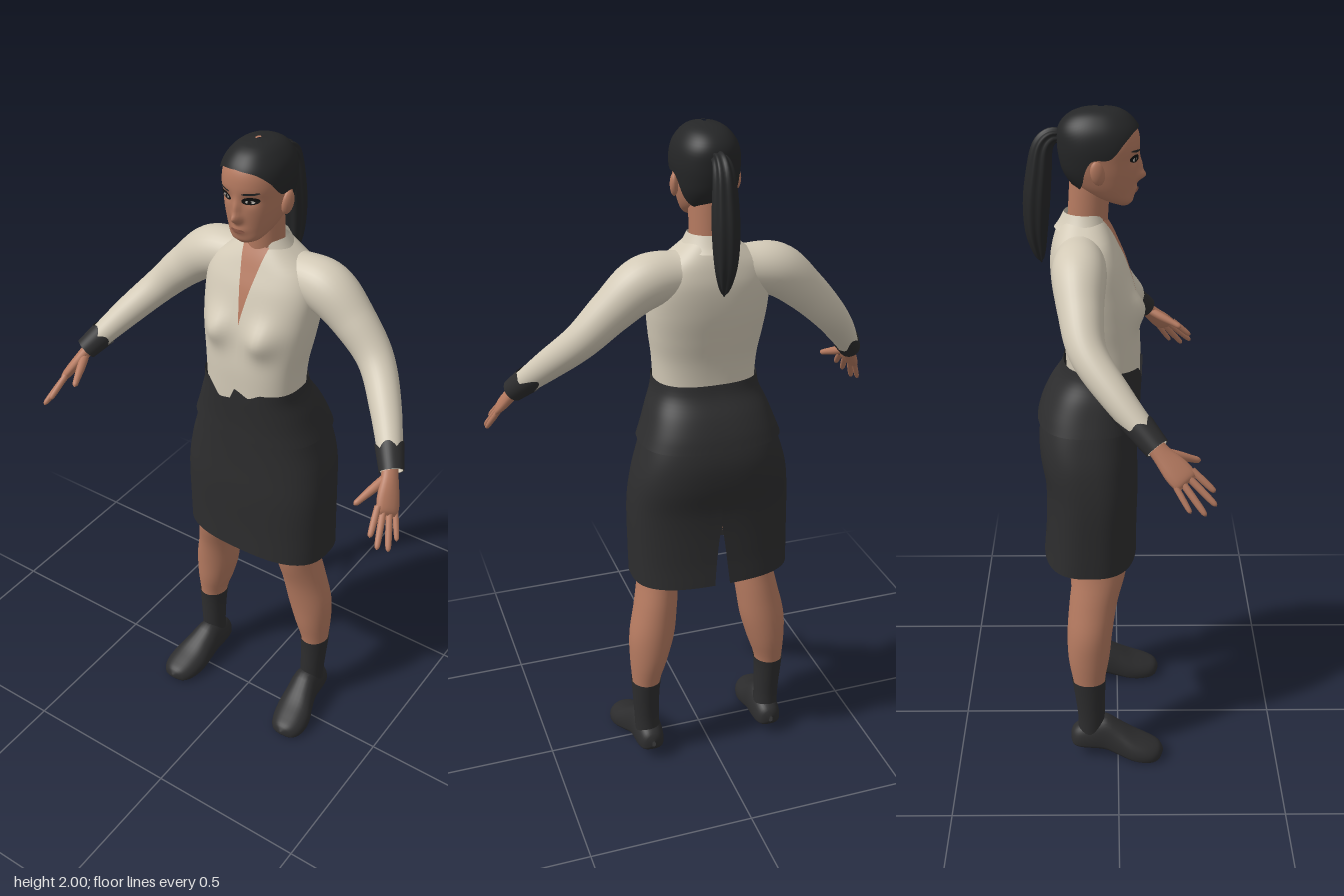
import * as THREE from 'three';

const mat = (name, color, side = THREE.FrontSide) => Object.assign(new THREE.MeshStandardMaterial({ color, side }), { name });
const { sin, cos, abs, sign, pow, exp, PI, max, min } = Math;

// Smooth lookup in rows of numbers, keyed by their first column
function lookup(keys, x) {
  const n = keys.length - 1;
  x = min(max(x, keys[0][0]), keys[n][0]);
  let i = 0;
  while (i < n - 1 && x > keys[i + 1][0]) i++;
  const h = keys[i + 1][0] - keys[i][0], s = (x - keys[i][0]) / h;
  const slope = (k, c) => {
    const a = keys[max(k - 1, 0)], b = keys[min(k + 1, n)];
    return (b[c] - a[c]) / (b[0] - a[0]);
  };
  return keys[i].map((v, c) => {
    const w = keys[i + 1][c], s2 = s * s, s3 = s2 * s;
    return v * (2 * s3 - 3 * s2 + 1) + w * (3 * s2 - 2 * s3) +
      h * (slope(i, c) * (s3 - 2 * s2 + s) + slope(i + 1, c) * (s3 - s2));
  });
}

// Surface swept by fn(angle, t); angle 0 faces front and grows toward +x
function surface(fn, na, nt, closed = true, a0 = -PI, a1 = PI) {
  const pos = [], index = [], cols = closed ? na : na + 1;
  for (let i = 0; i <= nt; i++)
    for (let j = 0; j < cols; j++) pos.push(...fn(a0 + (a1 - a0) * j / na, i / nt));
  for (let i = 0; i < nt; i++)
    for (let j = 0; j < na; j++) {
      const k = (j + 1) % cols, p = i * cols, q = p + cols;
      index.push(p + j, p + k, q + k, p + j, q + k, q + j);
    }
  const g = new THREE.BufferGeometry();
  g.setAttribute('position', new THREE.Float32BufferAttribute(pos, 3));
  g.setIndex(index);
  g.computeVertexNormals();
  return g;
}

const power = (v, p) => sign(v) * pow(abs(v), 2 / p);
// Point on a horizontal section; keys are [y, half width, front z, back z]
function section(keys, p, a, y, grow = 0) {
  const [, rx, zf, zb] = lookup(keys, y);
  return [(rx + grow) * power(sin(a), p), y, (zf + zb) / 2 + ((zf - zb) / 2 + grow) * power(cos(a), p)];
}
// Front z of such a section at a given x
function frontZ(keys, p, x, y) {
  const [, rx, zf, zb] = lookup(keys, y);
  return (zf + zb) / 2 + (zf - zb) / 2 * pow(max(0, 1 - pow(abs(x) / rx, p)), 1 / p);
}

// Limb along points [x, y, z, radius across, radius along ref]
function limb(points, ref) {
  const keys = points.map((p, i) => [i, ...p]), n = points.length - 1;
  const at = t => { const k = lookup(keys, t * n); return new THREE.Vector3(k[1], k[2], k[3]); };
  return (a, t, grow = 0) => {
    const k = lookup(keys, t * n), d = at(min(t + 0.01, 1)).sub(at(max(t - 0.01, 0))).normalize();
    const u = d.clone().cross(ref).normalize(), v = u.clone().cross(d);
    const r = k[4], r2 = k[5] ?? r;
    return at(t).addScaledVector(u, (r + grow) * sin(a)).addScaledVector(v, (r2 + grow) * cos(a)).toArray();
  };
}

const TORSO = [[1.2, .144, .064, -.15], [1.28, .147, .065, -.15], [1.35, .152, .064, -.156], [1.42, .163, .056, -.17],
  [1.5, .172, .042, -.185], [1.58, .172, .018, -.19], [1.63, .15, -.004, -.182], [1.665, .105, -.02, -.17], [1.7, .06, -.04, -.15]];
const SKIRT = [[.668, .242, .057, -.225], [.75, .243, .057, -.218], [.9, .242, .06, -.216], [1, .23, .057, -.231],
  [1.08, .208, .056, -.23], [1.2, .17, .058, -.195]];
const PEPLUM = [[1.11, .209, .066, -.236], [1.15, .194, .066, -.224], [1.2, .176, .068, -.2], [1.25, .156, .071, -.168], [1.29, .151, .072, -.156]];
const HEAD = [[1.733, .018, .03, .0], [1.745, .042, .041, -.03], [1.775, .063, .046, -.1], [1.82, .077, .052, -.14],
  [1.86, .083, .055, -.153], [1.9, .086, .06, -.158], [1.94, .079, .053, -.156], [1.97, .06, .03, -.135],
  [1.988, .036, 0, -.1], [1.995, .006, -.035, -.055]];

const bust = (x, y) => .032 * exp(-pow((abs(x) - .075) / .045, 2) - pow((y - 1.455) / .05, 2));
const gauss = (x, y, x0, y0, sx, sy) => exp(-pow((x - x0) / sx, 2) - pow((y - y0) / sy, 2));
// Nose, lips and eye sockets
const features = (x, y) => .02 * gauss(x, y, 0, 1.812, .013, .014) + .014 * gauss(x, y, 0, 1.838, .01, .028) +
  .007 * gauss(x, y, 0, 1.776, .022, .012) - .007 * gauss(abs(x), y, .036, 1.866, .018, .014);

// Waist edge of the blouse, as [angle, y]
const WAIST = [[-PI, 1.285], [-.6, 1.285], [-.42, 1.265], [-.25, 1.238], [-.05, 1.248], [0, 1.285], [.2, 1.265], [.45, 1.285], [PI, 1.285]];
function waistTop(a) {
  let i = 0;
  while (i < WAIST.length - 2 && a > WAIST[i + 1][0]) i++;
  const [p, q] = [WAIST[i], WAIST[i + 1]];
  return p[1] + (q[1] - p[1]) * (a - p[0]) / (q[0] - p[0]);
}

export function createModel() {
  const group = new THREE.Group();
  const skin = mat('skin', 0xb57a60), blouse = mat('blouse cream', 0xd3cab7, THREE.DoubleSide);
  const cloth = mat('dark cloth', 0x2d2d2e, THREE.DoubleSide), hair = mat('hair black', 0x252627);
  const lip = mat('lips', 0x98604d), white = mat('eye white', 0xc9c2ba), ink = mat('lash black', 0x141414);

  const add = (name, geo, m) => {
    const mesh = new THREE.Mesh(geo, m);
    mesh.name = name;
    group.add(mesh);
  };
  // Adds a part on the left (+x) and its mirror on the right
  const pair = (name, geo, m) => {
    const g = geo.clone().scale(-1, 1, 1), ix = g.index.array;
    for (let i = 0; i < ix.length; i += 3) [ix[i], ix[i + 1]] = [ix[i + 1], ix[i]];
    g.computeVertexNormals();
    add('left' + name, geo, m);
    add('right' + name, g, m);
  };

  // Blouse body
  add('blouseBody', surface((a, t) => {
    const p = section(TORSO, 2.5, a, 1.2 + .5 * t);
    p[2] += bust(p[0], p[1]) * max(0, min(1, cos(a) * 3));
    return p;
  }, 64, 40), blouse);

  // Open neckline
  const neckline = new THREE.PlaneGeometry(2, 1, 8, 24), np = neckline.attributes.position;
  for (let i = 0; i < np.count; i++) {
    const t = np.getY(i) + .5, y = 1.48 + .215 * t, x = np.getX(i) * .04 * pow(t, 1.2);
    np.setXYZ(i, x, y, frontZ(TORSO, 2.5, x, y) + bust(x, y) + .004);
  }
  neckline.computeVertexNormals();
  add('neckline', neckline, skin);

  // Folded collar, dropping to points at the front
  add('collar', surface((a, t) => {
    const f = pow(max(0, -cos(a)), 3), o = pow(t, .8);
    const r = .062 + .027 * (1 - o);
    return [r * sin(a), 1.715 - (1 - t) * (.045 + .035 * f) - .015 * f, -.092 - (r - .004) * cos(a)];
  }, 40, 5, false, -PI + .6, PI - .6), blouse);

  // Skirt with a back slit, and the flared waist piece
  add('skirt', surface((a, t) => {
    const y = .668 + .532 * t;
    return section(SKIRT, 2.7, a * (1 - max(0, .86 - y) * .07), y);
  }, 72, 30, false), cloth);
  add('waistPeplum', surface((a, t) => section(PEPLUM, 2.6, a, 1.11 + (waistTop(a) - 1.11) * t), 120, 14), cloth);

  // Neck, head and ears
  add('neck', surface((a, t) => [.053 * sin(a), 1.62 + .2 * t, -.088 + .012 * t + .056 * cos(a)], 32, 4), skin);
  add('head', surface((a, t) => {
    const p = section(HEAD, 2.2, a, 1.733 + .262 * (1 - cos(t * PI)) / 2);
    if (cos(a) > 0) p[2] += features(p[0], p[1]);
    return p;
  }, 96, 60), skin);
  pair('Ear', new THREE.SphereGeometry(1, 14, 10).scale(.012, .033, .02).rotateX(-.2).rotateY(-.3).translate(.087, 1.838, -.055), skin);

  // Hair cap with its hairline, and the ponytail
  const HAIRLINE = [[0, 1.948], [.6, 1.94], [1, 1.915], [1.35, 1.875], [1.75, 1.868], [2.1, 1.81], [2.5, 1.785], [PI, 1.78]];
  add('hairCap', surface((a, t) => {
    const low = lookup(HAIRLINE, abs(a))[1], y = low + (1.995 - low) * sin(t * PI / 2);
    const p = section(HEAD, 2.2, a, y, .007 * (1 - pow(t, 6)));
    p[1] += .005 * t;
    return p;
  }, 72, 24), hair);
  const tail = limb([[0, 1.92, -.145, .016], [0, 1.92, -.18, .022], [0, 1.89, -.205, .028], [0, 1.82, -.216, .034],
    [0, 1.74, -.224, .036], [0, 1.66, -.226, .03], [0, 1.6, -.22, .017], [0, 1.565, -.214, .001]], new THREE.Vector3(1, 0, 0));
  add('ponytail', surface((a, t) => tail(a, t, t < .97 ? .0025 * cos(a * 7) : 0), 42, 36), hair);

  // Face details: thin ellipses laid on the face
  const patch = (x, y, rx, ry, off, tilt = 0) => {
    const g = new THREE.CircleGeometry(1, 20).scale(rx, ry, 1).rotateZ(tilt).translate(x, y, 0), p = g.attributes.position;
    for (let i = 0; i < p.count; i++)
      p.setZ(i, frontZ(HEAD, 2.2, p.getX(i), p.getY(i)) + features(p.getX(i), p.getY(i)) + off);
    g.computeVertexNormals();
    return g;
  };
  pair('Lashes', patch(.038, 1.867, .022, .011, .003, .12), ink);
  pair('EyeWhite', patch(.037, 1.864, .012, .0045, .0045), white);
  pair('Iris', patch(.036, 1.864, .005, .005, .006), ink);
  pair('Brow', patch(.04, 1.888, .022, .0035, .003, .1), hair);
  add('lips', patch(0, 1.775, .022, .007, .003), lip);

  // Sleeves and dark cuffs
  const arm = limb([[.09, 1.605, -.105, .066], [.19, 1.59, -.105, .074], [.28, 1.52, -.1, .062], [.365, 1.435, -.08, .051],
    [.445, 1.345, -.005, .043], [.528, 1.24, .097, .03]], new THREE.Vector3(0, 0, 1));
  pair('Sleeve', surface((a, t) => arm(a, t), 32, 40), blouse);
  pair('Cuff', surface((a, t) => {
    const start = .93 - .07 * pow(max(0, cos(a - PI)), 6) - .02 * abs(sin(a * 2.5));
    return arm(a, start + (1 - start) * t, .004);
  }, 40, 8), cloth);

  // Hands: palm, four fingers and thumb
  const spread = new THREE.Vector3(.49, -.44, -.75);
  const hand = (name, points) => {
    const f = limb(points, spread);
    pair(name, surface((a, t) => f(a, t), 14, 16), skin);
  };
  hand('Palm', [[.512, 1.258, .078, .02, .024], [.53, 1.225, .108, .018, .027], [.548, 1.19, .143, .016, .037],
    [.56, 1.167, .166, .012, .037], [.565, 1.158, .175, .002, .03]]);
  const tips = [[.555, 1.128, .247], [.58, 1.1, .25], [.6, 1.082, .222], [.603, 1.092, .182]];
  tips.forEach((tip, i) => {
    const k = new THREE.Vector3(.555, 1.173, .162).addScaledVector(spread, -.03 + .02 * i), e = new THREE.Vector3(...tip);
    const r = i === 3 ? .008 : .0095;
    hand('Finger' + (i + 1), [[0, r], [.5, r], [.9, r * .8], [1, .001]].map(([t, q]) => [...k.clone().lerp(e, t).toArray(), q]));
  });
  hand('Thumb', [[.522, 1.228, .11, .013], [.507, 1.21, .15, .013], [.494, 1.195, .185, .01], [.486, 1.186, .205, .008], [.483, 1.182, .212, .001]]);

  // Legs and socks; keys are [y, x, z, half width, half depth]
  const LEG = [[.09, .202, -.085, .036, .038], [.15, .204, -.084, .036, .039], [.28, .205, -.09, .043, .049], [.36, .195, -.09, .058, .063],
    [.45, .182, -.086, .07, .069], [.55, .165, -.074, .066, .073], [.66, .148, -.055, .063, .081], [.8, .13, -.06, .08, .09], [1, .11, -.08, .1, .1]];
  const leg = (a, y, grow) => {
    const [, x, z, rx, rz] = lookup(LEG, y);
    return [x + (rx + grow) * sin(a), y, z + (rz + grow) * cos(a)];
  };
  pair('Leg', surface((a, t) => leg(a, .26 + .74 * t, 0), 32, 30), skin);
  pair('Sock', surface((a, t) => leg(a, .09 + .195 * t, .003), 32, 12), cloth);

  // Shoes; keys are [z, x, half width, top, bottom]
  const SHOE = [[-.149, .2, .006, .075, .055], [-.143, .2, .026, .092, .042], [-.125, .2, .039, .108, .035], [-.09, .2, .045, .125, .032],
    [-.04, .202, .047, .14, .027], [0, .208, .053, .116, .016], [.05, .217, .062, .084, .005], [.1, .223, .056, .061, .001],
    [.13, .224, .036, .046, .005], [.142, .224, .006, .03, .018]];
  pair('Shoe', surface((a, t) => {
    const z = -.149 + .291 * (1 - cos(t * PI)) / 2, [, x, w, top, low] = lookup(SHOE, z);
    const mid = low + (top - low) * .35, c = cos(a);
    return [x - w * power(sin(a), 2.4), c > 0 ? mid + (top - mid) * c : mid + (mid - low) * power(c, 4), z];
  }, 36, 32), cloth);

  return group;
}
